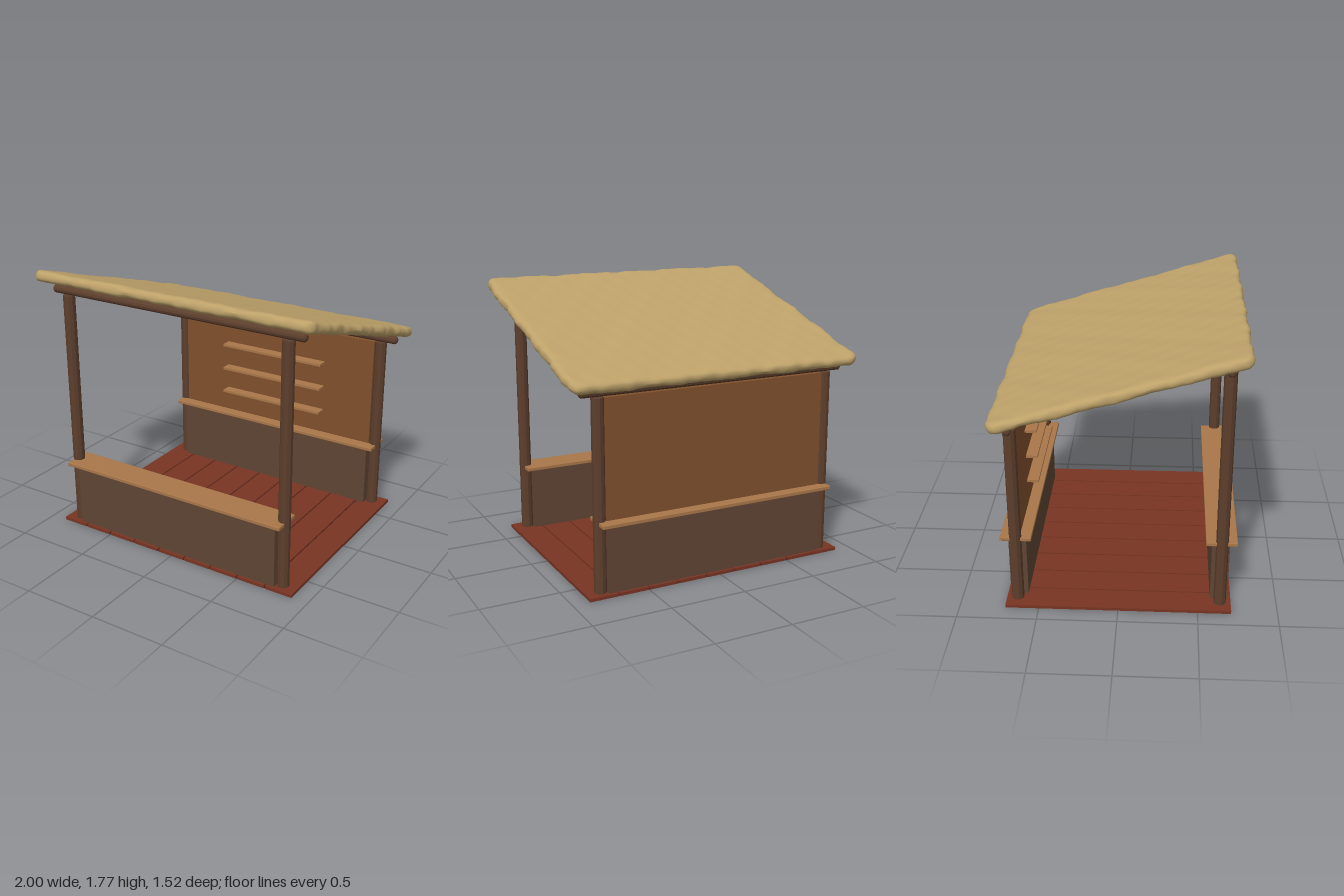
import * as THREE from 'three';
import { mergeVertices } from 'three/addons/utils/BufferGeometryUtils.js';
import { RoundedBoxGeometry } from 'three/addons/geometries/RoundedBoxGeometry.js';

const mat = (name, color, extra = {}) => {
  const m = new THREE.MeshStandardMaterial({ color, ...extra });
  m.name = name;
  return m;
};

// Thatch slab: a dense box with rounded rims and a wavy, ragged outline
function thatchGeometry(w, h, d) {
  let g = new THREE.BoxGeometry(w, h, d, 90, 6, 70);
  g.deleteAttribute('normal');
  g.deleteAttribute('uv');
  g = mergeVertices(g);
  const p = g.attributes.position;
  const r = h / 2;
  const v = new THREE.Vector3(), core = new THREE.Vector3(), out = new THREE.Vector3();
  const wave = (a, b) => Math.sin(a * 17 + b * 5) * 0.5 + Math.sin(a * 41 + b * 13 + 1.7) * 0.3 + Math.sin(a * 73 - b * 9 + 0.6) * 0.2;
  for (let i = 0; i < p.count; i++) {
    v.fromBufferAttribute(p, i);
    core.set(
      THREE.MathUtils.clamp(v.x, -w / 2 + r, w / 2 - r), 0,
      THREE.MathUtils.clamp(v.z, -d / 2 + r, d / 2 - r));
    out.subVectors(v, core);
    // round only the outer rim; the broad faces stay level
    if (core.x !== v.x || core.z !== v.z) out.setLength(Math.min(out.length(), r));
    v.addVectors(core, out);
    const ex = THREE.MathUtils.smoothstep(Math.abs(v.x), w / 2 - 0.08, w / 2);
    const ez = THREE.MathUtils.smoothstep(Math.abs(v.z), d / 2 - 0.08, d / 2);
    v.x += Math.sign(v.x) * (ex * 0.01 * wave(v.z, Math.sign(v.x)) - 0.015 * ex * ez);
    v.z += Math.sign(v.z) * (ez * 0.008 * wave(v.x, Math.sign(v.z) * 2) - 0.01 * ex * ez);
    v.y += 0.004 * (wave(v.x * 0.6, v.z * 1.5) + ez * wave(v.x, 3) + ex * wave(v.z, 4)) * Math.sign(v.y);
    p.setXYZ(i, v.x, v.y, v.z);
  }
  g.computeVertexNormals();
  return g;
}

export function createModel() {
  const root = new THREE.Group();
  root.name = 'marketStall';
  const timber = mat('dark timber', 0x5c3e2c, { flatShading: true });
  const wallMat = mat('wall brown', 0x5f4534);
  const panelMat = mat('panel brown', 0x80502c);
  const plankMat = mat('light plank', 0xa9774a);
  const floorMat = mat('red floor', 0x783423);
  const gapMat = mat('floor gap', 0x3c1a12);
  const thatchMat = mat('thatch', 0xbda169);

  const add = (name, geo, m, x, y, z) => {
    const mesh = new THREE.Mesh(geo, m);
    mesh.name = name;
    mesh.position.set(x, y, z);
    root.add(mesh);
    return mesh;
  };
  // box given by its lower and upper corners
  const box = (name, m, x0, x1, y0, y1, z0, z1) =>
    add(name, new THREE.BoxGeometry(x1 - x0, y1 - y0, z1 - z0), m, (x0 + x1) / 2, (y0 + y1) / 2, (z0 + z1) / 2);

  // Floor: nine planks over a thin base
  box('floorBase', gapMat, -0.885, 0.885, 0.001, 0.008, -0.705, 0.705);
  for (let i = -4; i <= 4; i++) {
    const x0 = i === -4 ? -0.89 : i * 0.2 - 0.095;
    const x1 = i === 4 ? 0.89 : i * 0.2 + 0.095;
    box('floorPlank', floorMat, x0, x1, 0, 0.02, -0.71, 0.71);
  }

  // Each side: posts, round beam, low wall and counter
  for (const [side, s, top] of [['front', 1, 1.61], ['back', -1, 1.215]]) {
    for (const x of [-0.793, 0.793])
      add(side + 'Post', new THREE.CylinderGeometry(0.039, 0.039, top - 0.02, 10), timber, x, (top + 0.02) / 2, s * 0.64);

    const r = 0.027, half = 0.91;
    const profile = [[0, -half], [r * 0.6, -half + 0.003], [r, -half + 0.015], [r, half - 0.015], [r * 0.6, half - 0.003], [0, half]]
      .map(([a, b]) => new THREE.Vector2(a, b));
    const beam = add(side + 'Beam', new THREE.LatheGeometry(profile, 12), timber, 0, top + 0.03, s * 0.64);
    beam.rotation.z = Math.PI / 2;

    box(side + 'LowWall', wallMat, -0.757, 0.757, 0.02, 0.446, s * 0.635 - 0.056, s * 0.635 + 0.056);
    add(side + 'Counter', new RoundedBoxGeometry(1.62, 0.026, 0.195, 2, 0.005), plankMat, 0, 0.457, s * 0.638);
  }

  // Upper back panel with three shelves
  box('backPanel', panelMat, -0.757, 0.757, 0.47, 1.215, -0.665, -0.612);
  for (const y of [0.637, 0.816, 0.996])
    box('shelf', plankMat, -0.395, 0.395, y - 0.008, y + 0.008, -0.62, -0.538);

  // Sloping thatched roof
  const roof = add('thatchedRoof', thatchGeometry(1.98, 0.07, 1.575), thatchMat, 0, 1.512, 0);
  roof.rotation.x = -Math.atan2(0.445, 1.46);

  return root;
}
